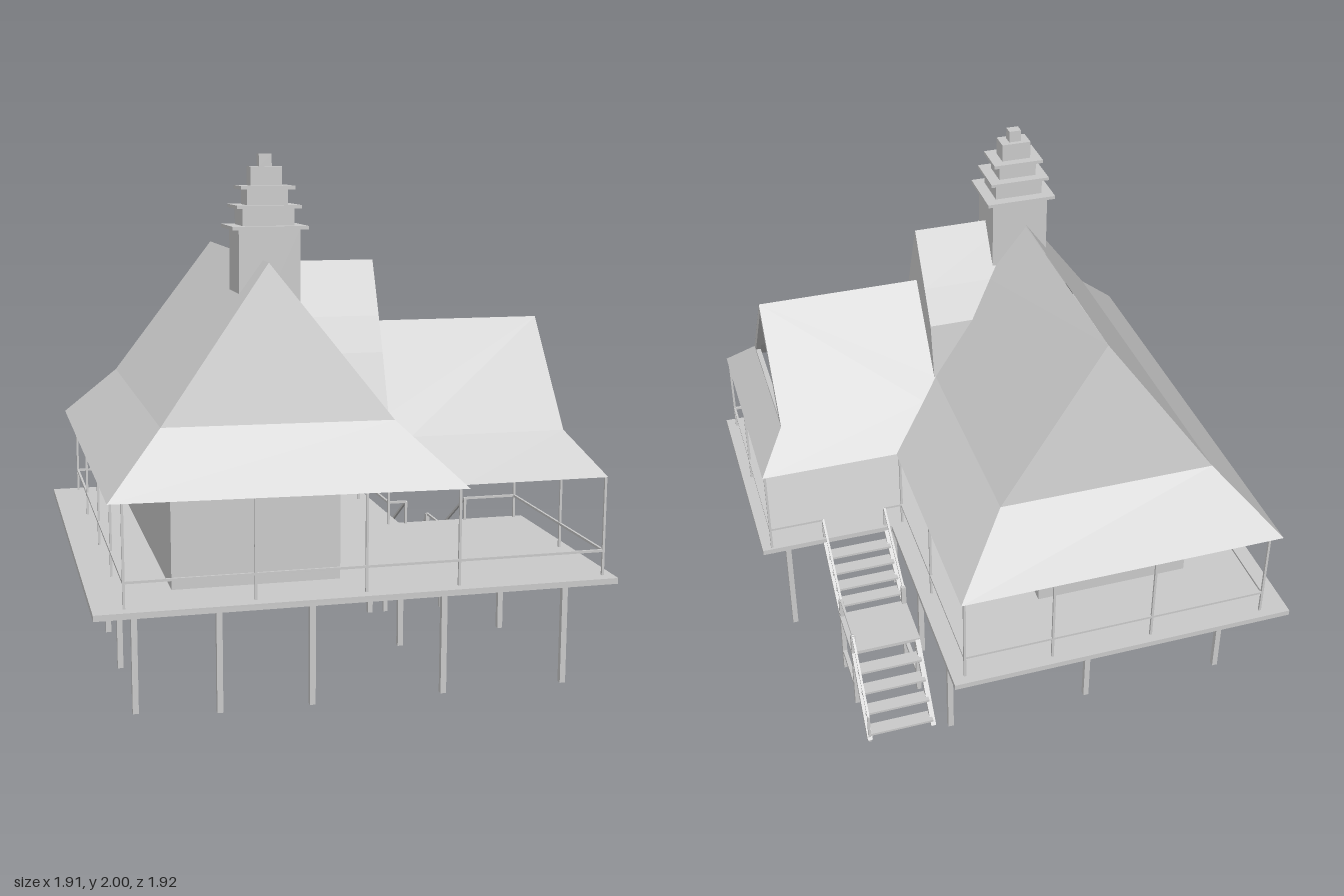
import * as THREE from 'three';

export function createModel() {
  const root = new THREE.Group();
  root.name = 'stiltHouse';
  const mat = new THREE.MeshStandardMaterial({ color: 0xcccccc, flatShading: true, side: THREE.DoubleSide });

  const add = (parent, name, geo) => {
    const m = new THREE.Mesh(geo, mat);
    m.name = name;
    parent.add(m);
    return m;
  };
  const group = (name) => {
    const g = new THREE.Group();
    g.name = name;
    root.add(g);
    return g;
  };
  // box given by its limits on each axis
  const box = (parent, name, [x0, x1], [y0, y1], [z0, z1]) => {
    const m = add(parent, name, new THREE.BoxGeometry(x1 - x0, y1 - y0, z1 - z0));
    m.position.set((x0 + x1) / 2, (y0 + y1) / 2, (z0 + z1) / 2);
    return m;
  };
  // square bar between two points
  const bar = (parent, name, a, b, t) => {
    const p = new THREE.Vector3(...a), q = new THREE.Vector3(...b);
    const m = add(parent, name, new THREE.BoxGeometry(t, t, p.distanceTo(q)));
    m.position.copy(p).add(q).multiplyScalar(0.5);
    m.lookAt(q);
    return m;
  };
  // flat panel fanned from its first corner
  const panel = (parent, name, ...pts) => {
    const v = [];
    for (let i = 1; i < pts.length - 1; i++) v.push(...pts[0], ...pts[i], ...pts[i + 1]);
    const g = new THREE.BufferGeometry();
    g.setAttribute('position', new THREE.Float32BufferAttribute(v, 3));
    g.computeVertexNormals();
    return add(parent, name, g);
  };
  const shape = (pts) => new THREE.Shape(pts.map((p) => new THREE.Vector2(...p)));
  // upright slab drawn in (z, y), ending at x
  const sideSlab = (parent, name, outer, hole, depth, x) => {
    const s = shape(outer);
    if (hole) s.holes.push(shape(hole));
    const g = new THREE.ExtrudeGeometry(s, { depth, bevelEnabled: false });
    const m = add(parent, name, g.rotateY(-Math.PI / 2));
    m.position.x = x;
    return m;
  };

  // L-shaped deck
  const deckGeo = new THREE.ExtrudeGeometry(
    shape([[-0.96, -0.96], [0.405, -0.96], [0.405, -0.005], [0.95, -0.005], [0.95, 0.95], [-0.96, 0.95]]),
    { depth: 0.022, bevelEnabled: false });
  add(root, 'deck', deckGeo.rotateX(Math.PI / 2)).position.y = 0.472;

  // stilts
  const stilts = group('stilts');
  [[-0.79, 0.66], [-0.79, 0.17], [-0.79, -0.28], [-0.79, -0.72], [-0.49, 0.72], [-0.145, 0.72], [0.36, 0.72],
    [0.84, 0.72], [0.84, 0.05], [0.36, 0.17], [0.36, -0.28], [0.36, -0.72], [-0.215, -0.72]]
    .forEach(([x, z]) => bar(stilts, 'stilt', [x, 0, z], [x, 0.452, z], 0.022));

  // walls, with a doorway towards the covered terrace
  const walls = group('walls');
  const H = [0.47, 1.0];
  box(walls, 'frontWall', [-0.66, -0.04], H, [0.7, 0.72]);
  box(walls, 'backWall', [-0.66, -0.04], H, [-0.61, -0.59]);
  box(walls, 'leftOuterWall', [-0.66, -0.64], H, [-0.59, 0.7]);
  sideSlab(walls, 'doorWall', [[-0.59, 0.47], [-0.16, 0.47], [-0.16, 0.775], [0.29, 0.775], [0.29, 0.47],
    [0.7, 0.47], [0.7, 1], [-0.59, 1]], null, 0.02, -0.04);

  // main roof: flared eaves, steep upper slopes
  const main = group('mainRoof');
  const eFL = [-0.9, 0.84, 0.9], eFR = [0.37, 0.84, 0.96], eBL = [-0.9, 0.84, -0.935], eBR = [0.37, 0.84, -0.935];
  const bFL = [-0.69, 1.06, 0.72], bFR = [0.15, 1.06, 0.76], bBL = [-0.69, 1.06, -0.7], bBR = [0.15, 1.06, -0.7];
  const rF = [-0.28, 1.62, 0.62], rB = [-0.28, 1.62, -0.6], apex = [-0.28, 1.61, 0.43];
  const vB = [0.15, 1.06, 0.18], vF = [0.15, 1.06, 0.66];
  panel(main, 'frontEave', eFL, eFR, bFR, bFL);
  panel(main, 'frontSlope', bFL, bFR, rF);
  panel(main, 'backEave', eBR, eBL, bBL, bBR);
  panel(main, 'backSlope', bBR, bBL, rB);
  panel(main, 'outerEave', eBL, eFL, bFL, bBL);
  panel(main, 'outerSlope', bBL, bFL, rF, rB);
  panel(main, 'innerEaveBack', [0.37, 0.84, 0], eBR, bBR, vB);
  panel(main, 'innerEaveFront', eFR, [0.37, 0.84, 0.9], vF, bFR);
  panel(main, 'innerSlopeBack', rB, apex, [-0.12, 1.41, 0.3], [-0.02, 1.28, 0.22], vB, bBR);
  panel(main, 'innerSlopeFront', bFR, rF, apex, vF);

  // tall dormer between main roof and wing, following the valley lines
  const dormer = group('dormer');
  const backLine = [apex, [-0.12, 1.41, 0.3], [-0.02, 1.28, 0.22], vB];
  const frontLine = [apex, [-0.12, 1.41, 0.52], [-0.02, 1.28, 0.575], vF];
  const toEnd = ([, y, z]) => [0.156, y, z];
  for (let i = 0; i < 3; i++) {
    panel(dormer, 'dormerBackSlope', backLine[i], toEnd(backLine[i]), toEnd(backLine[i + 1]), backLine[i + 1]);
    panel(dormer, 'dormerFrontSlope', frontLine[i], frontLine[i + 1], toEnd(frontLine[i + 1]), toEnd(frontLine[i]));
  }
  panel(dormer, 'dormerGable', ...[...frontLine.slice(0, 4), ...backLine.slice(1).reverse()].map(toEnd).reverse());

  // terrace wing roof
  const wing = group('wingRoof');
  const R0 = [0.15, 1.38, 0.43], R1 = [0.81, 1.38, 0.43];
  const wbB = [0.81, 0.99, 0.12], wbF = [0.81, 0.99, 0.735], weB = [0.92, 0.84, 0], weF = [0.92, 0.84, 0.9];
  panel(wing, 'wingBackSlope', R1, wbB, [0.22, 0.99, 0.12], vB, R0);
  panel(wing, 'wingFrontSlope', R1, R0, vF, [0.22, 0.99, 0.735], wbF);
  panel(wing, 'wingBackEave', weB, [0.37, 0.84, 0], [0.22, 0.99, 0.12], wbB);
  panel(wing, 'wingFrontEave', [0.37, 0.84, 0.9], weF, wbF, [0.22, 0.99, 0.735]);
  panel(wing, 'wingEndEave', weF, weB, wbB, wbF);
  sideSlab(wing, 'gableFrame', [[0.12, 0.99], [0.735, 0.99], [0.43, 1.378]],
    [[0.17, 1.0], [0.43, 1.335], [0.69, 1.0]], 0.02, 0.81);
  panel(wing, 'gablePanel', [0.72, 0.99, 0.735], [0.72, 0.99, 0.12], [0.72, 1.375, 0.43]);

  // stepped chimney: [half x, half z, bottom, top]
  const chimney = group('chimney');
  [[0.114, 0.094, 1.25, 1.735], [0.14, 0.116, 1.73, 1.743], [0.096, 0.076, 1.743, 1.805],
    [0.119, 0.093, 1.805, 1.817], [0.076, 0.056, 1.817, 1.873], [0.1, 0.072, 1.873, 1.886],
    [0.058, 0.038, 1.886, 1.955], [0.024, 0.02, 1.955, 2.0]]
    .forEach(([hx, hz, y0, y1]) =>
      box(chimney, 'chimneyTier', [-0.254 - hx, -0.254 + hx], [y0, y1], [0.422 - hz, 0.422 + hz]));

  // veranda posts and handrail
  const veranda = group('veranda');
  [[-0.85, 0.9], [-0.39, 0.9], [0.01, 0.9], [0.355, 0.9], [0.91, 0.9], [0.91, 0.5], [0.91, 0.01], [0.355, 0.01],
    [0.355, -0.45], [0.355, -0.92], [0.01, -0.92], [-0.39, -0.92], [-0.85, -0.92], [-0.85, -0.45],
    [-0.85, 0.05], [-0.85, 0.5]]
    .forEach(([x, z]) => bar(veranda, 'verandaPost', [x, 0.44, z], [x, 0.84, z], 0.009));
  const rail = [[0.69, 0.01], [0.91, 0.01], [0.91, 0.9], [-0.85, 0.9], [-0.85, -0.92], [0.355, -0.92],
    [0.355, 0.01], [0.43, 0.01]];
  for (let i = 0; i < rail.length - 1; i++) {
    const [a, b] = [rail[i], rail[i + 1]];
    bar(veranda, 'handrail', [a[0], 0.565, a[1]], [b[0], 0.565, b[1]], 0.009);
  }

  // two-flight stair with landing
  const stair = group('stair');
  for (const x of [0.43, 0.69]) {
    bar(stair, 'upperStringer', [x, 0.455, -0.01], [x, 0.28, -0.27], 0.018);
    bar(stair, 'lowerStringer', [x, 0.28, -0.49], [x, 0.01, -0.715], 0.02);
    bar(stair, 'landingBrace', [x, 0.09, -0.28], [x, 0.09, -0.49], 0.016);
    bar(stair, 'landingPost', [x, 0, -0.28], [x, 0.375, -0.28], 0.018);
    bar(stair, 'landingPost', [x, 0, -0.49], [x, x > 0.5 ? 0.375 : 0.28, -0.49], 0.018);
    bar(stair, 'topPost', [x, 0.45, 0.01], [x, 0.565, 0.01], 0.01);
    bar(stair, 'upperHandrail', [x, 0.565, 0.01], [x, 0.375, -0.28], 0.009);
  }
  bar(stair, 'landingHandrail', [0.69, 0.375, -0.28], [0.69, 0.375, -0.49], 0.009);
  bar(stair, 'lowerHandrail', [0.69, 0.375, -0.49], [0.69, 0.135, -0.71], 0.009);
  bar(stair, 'bottomPost', [0.69, 0, -0.71], [0.69, 0.135, -0.71], 0.01);
  box(stair, 'landing', [0.42, 0.7], [0.275, 0.29], [-0.5, -0.27]);
  const tread = (y, z) => box(stair, 'tread', [0.43, 0.69], [y - 0.005, y + 0.005], [z - 0.027, z + 0.027]);
  for (let i = 0; i < 4; i++) {
    tread(0.425 - i * 0.038, -0.055 - i * 0.057);
    tread(0.225 - i * 0.062, -0.535 - i * 0.052);
  }

  return root;
}
